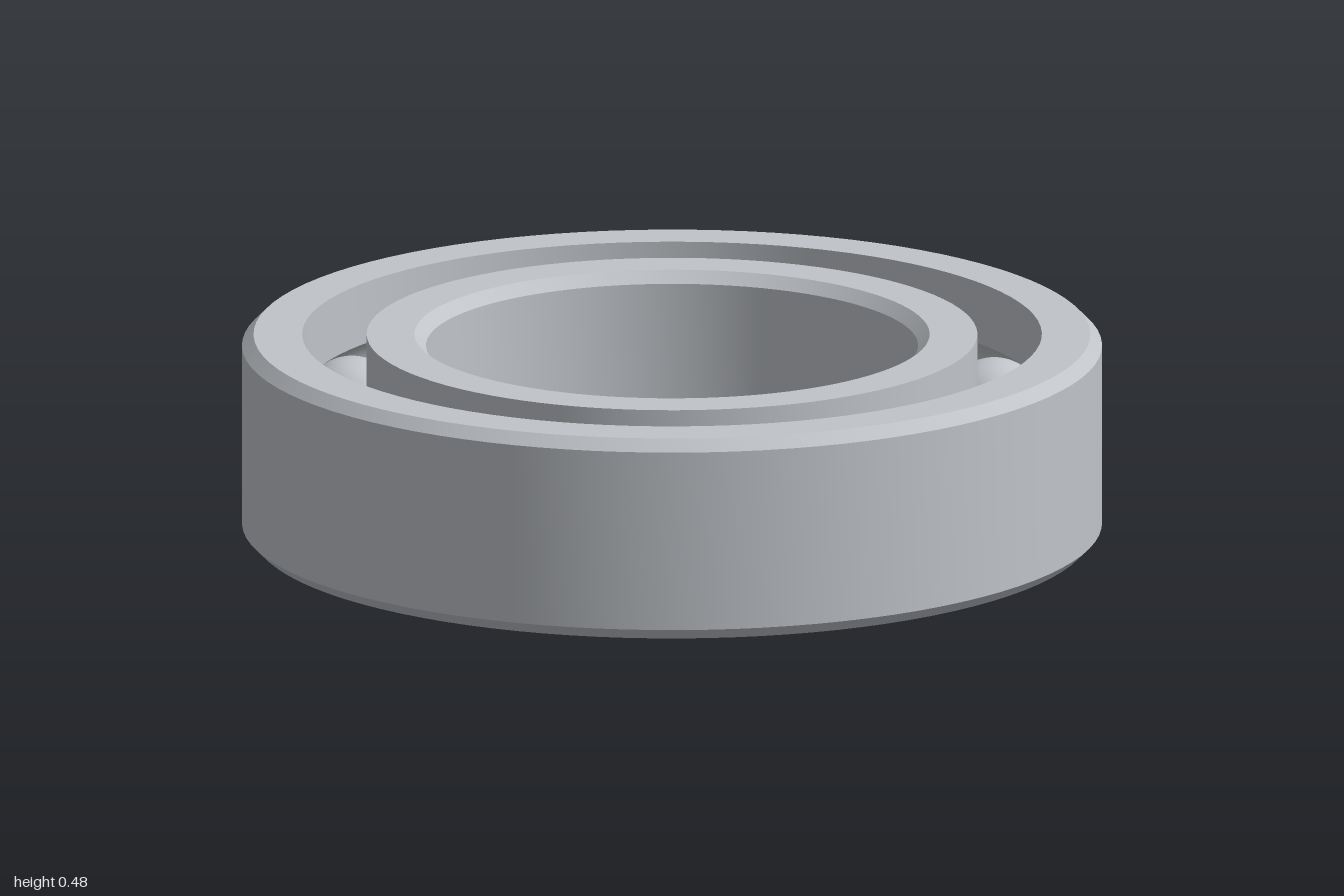
import * as THREE from 'three';
import { toCreasedNormals } from 'three/addons/utils/BufferGeometryUtils.js';

const HEIGHT = 0.48, MID = HEIGHT / 2, CHAMFER = 0.027;
const PITCH = 0.785, BALL_RADIUS = 0.12, BALL_COUNT = 15;

// Points of the ball groove, cut into a ring wall at the given radius.
function groove(wallRadius, upward) {
  const half = Math.acos(Math.abs(wallRadius - PITCH) / BALL_RADIUS);
  const side = Math.sign(wallRadius - PITCH), steps = 14, points = [];
  for (let i = 0; i <= steps; i++) {
    const a = (upward ? -1 : 1) * half * (1 - (2 * i) / steps);
    points.push([PITCH + side * BALL_RADIUS * Math.cos(a), MID + BALL_RADIUS * Math.sin(a)]);
  }
  return points;
}

// Revolves a closed, counterclockwise profile into a sharp-edged ring.
function makeRing(name, profile, material) {
  const points = [...profile, profile[0]].map(([r, y]) => new THREE.Vector2(r, y));
  const geometry = toCreasedNormals(new THREE.LatheGeometry(points, 96), Math.PI / 6);
  const ring = new THREE.Mesh(geometry, material);
  ring.name = name;
  return ring;
}

export function createModel() {
  const model = new THREE.Group();
  model.name = 'ballBearing';
  const steel = new THREE.MeshStandardMaterial({ color: 0xc0c4c9 });
  steel.name = 'steel';

  // Outer ring: chamfered outside, groove inside
  const outerWall = 0.86;
  model.add(makeRing('outerRing', [
    [outerWall, 0], [1 - CHAMFER, 0], [1, CHAMFER],
    [1, HEIGHT - CHAMFER], [1 - CHAMFER, HEIGHT], [outerWall, HEIGHT],
    ...groove(outerWall, false),
  ], steel));

  // Inner ring: groove outside, chamfered bore
  const innerWall = 0.71, bore = 0.572;
  model.add(makeRing('innerRing', [
    [bore + CHAMFER, 0], [innerWall, 0],
    ...groove(innerWall, true),
    [innerWall, HEIGHT], [bore + CHAMFER, HEIGHT],
    [bore, HEIGHT - CHAMFER], [bore, CHAMFER],
  ], steel));

  // Balls, evenly spaced between the rings
  const balls = new THREE.Group();
  balls.name = 'balls';
  const ballGeometry = new THREE.SphereGeometry(BALL_RADIUS, 36, 24);
  for (let i = 0; i < BALL_COUNT; i++) {
    const a = (i / BALL_COUNT) * Math.PI * 2;
    const ball = new THREE.Mesh(ballGeometry, steel);
    ball.name = 'ball';
    ball.position.set(PITCH * Math.cos(a), MID, PITCH * Math.sin(a));
    balls.add(ball);
  }
  model.add(balls);
  return model;
}
